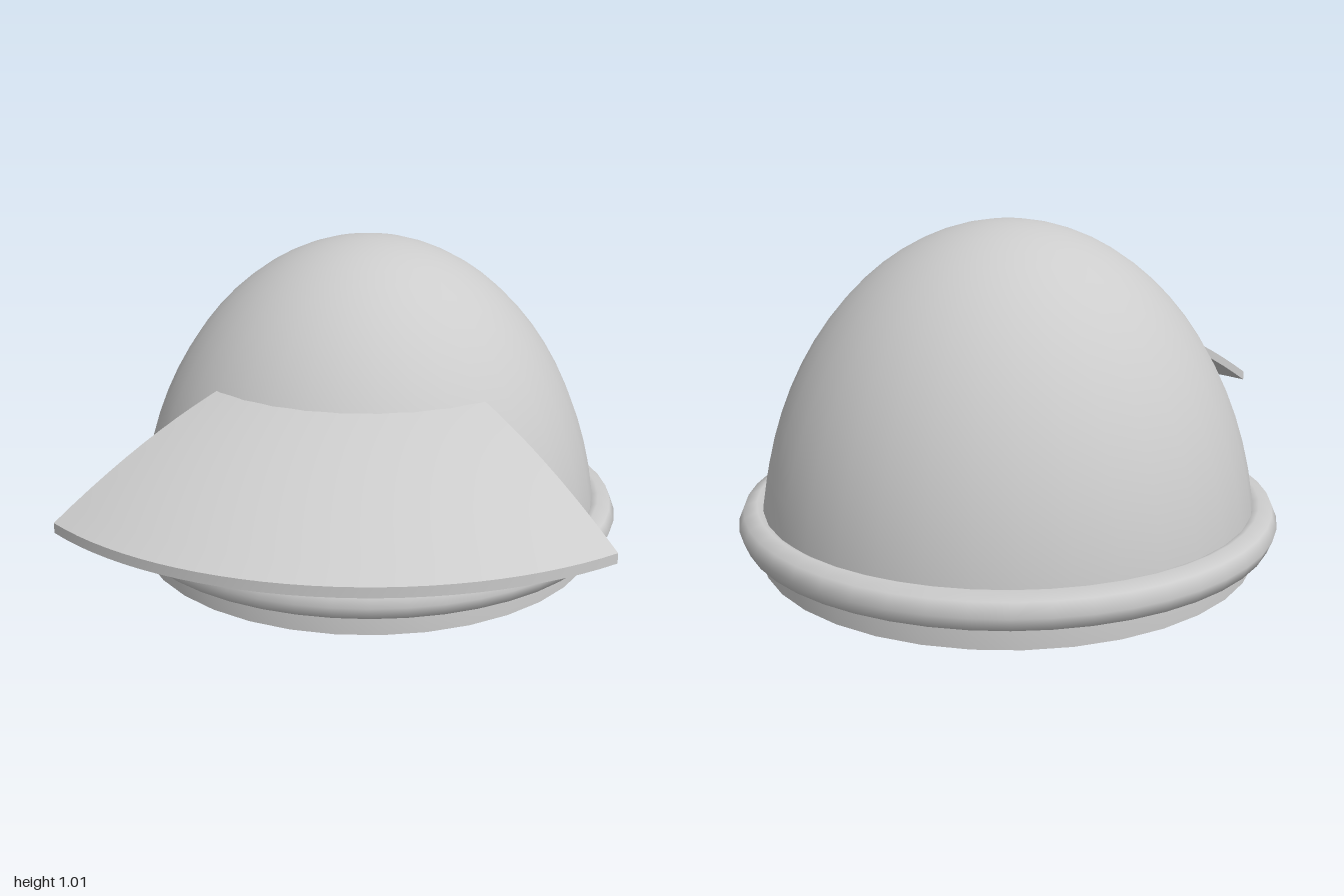
import * as THREE from 'three';

const CENTER_Z = -0.17;

// Peaked sector plate that droops as it runs outward, bent from a box.
function makeVisorGeometry(inner, outer, halfAngle, thickness) {
  const geo = new THREE.BoxGeometry(1, 1, 1, 28, 1, 14);
  const pos = geo.attributes.position;
  for (let i = 0; i < pos.count; i++) {
    const angle = pos.getX(i) * 2 * halfAngle;
    const r = THREE.MathUtils.lerp(inner, outer, pos.getZ(i) + 0.5);
    const y = 0.715 - 0.268 * r * r + (pos.getY(i) - 0.5) * thickness;
    pos.setXYZ(i, Math.sin(angle) * r, y, Math.cos(angle) * r);
  }
  geo.computeVertexNormals();
  return geo;
}

export function createModel() {
  const group = new THREE.Group();
  group.name = 'helmet';

  const shellGrey = new THREE.MeshStandardMaterial({ color: 0xcccccc, side: THREE.DoubleSide });
  shellGrey.name = 'shellGrey';

  const add = (name, geometry) => {
    const mesh = new THREE.Mesh(geometry, shellGrey);
    mesh.name = name;
    mesh.position.z = CENTER_Z;
    group.add(mesh);
    return mesh;
  };

  // Hollow dome, open at the bottom
  const dome = add('dome', new THREE.SphereGeometry(1, 36, 18, 0, Math.PI * 2, 0, Math.PI / 2));
  dome.scale.set(0.762, 1.01, 0.773);

  // Rolled rim around the base
  const rimGeo = new THREE.TorusGeometry(0.772, 0.055, 8, 48);
  rimGeo.rotateX(Math.PI / 2);
  add('rim', rimGeo).position.y = 0.111;

  // Visor, its root continuing inside the dome
  add('visor', makeVisorGeometry(0.33, 1.168, 0.72, 0.03));

  return group;
}
